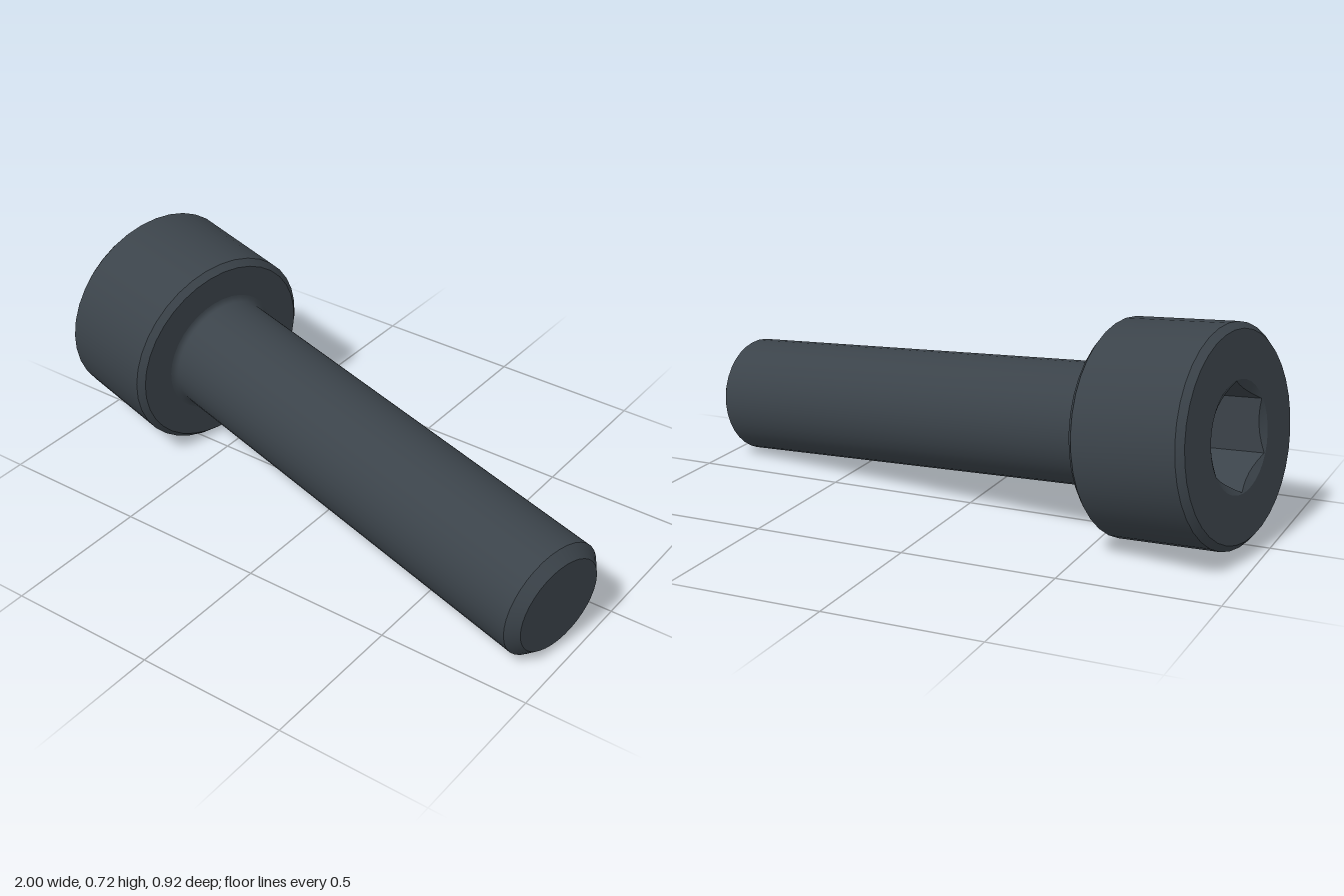
import * as THREE from 'three';
import { toCreasedNormals } from 'three/addons/utils/BufferGeometryUtils.js';

const SEGMENTS = 36;
const LENGTH = 1.944, HEAD_HEIGHT = 0.389, HEAD_R = 0.34, SHANK_R = 0.194;
const SOCKET_R = 0.172, SOCKET_DEPTH = 0.2, HEX_APOTHEM = 0.146;

const lathe = (points) =>
  new THREE.LatheGeometry(points.map(([r, y]) => new THREE.Vector2(r, y)), SEGMENTS);

// Distance from the axis to a hexagon's edge, with a corner at angle 0
function hexRadius(angle) {
  const sector = Math.PI / 3;
  const a = ((angle % sector) + sector) % sector;
  return HEX_APOTHEM / Math.cos(a - sector / 2);
}

// Hexagonal recess: a lathe whose wall rows are pushed onto a hexagon,
// meeting the round countersunk mouth
function socketGeometry() {
  const geometry = lathe([[0, SOCKET_DEPTH], [1, SOCKET_DEPTH], [1, 0.01], [SOCKET_R, 0]]);
  const pos = geometry.attributes.position;
  for (let i = 0; i < pos.count; i++) {
    const row = i % 4;
    if (row !== 1 && row !== 2) continue;
    const angle = Math.atan2(pos.getZ(i), pos.getX(i));
    const r = hexRadius(angle);
    const y = row === 1 ? SOCKET_DEPTH : (SOCKET_R - r) * 0.58;
    pos.setXYZ(i, r * Math.cos(angle), y, r * Math.sin(angle));
  }
  return geometry;
}

export function createModel() {
  const steel = new THREE.MeshStandardMaterial({ color: 0x3b434a });
  steel.name = 'darkSteel';

  const bolt = new THREE.Group();
  bolt.name = 'socketHeadBolt';
  const add = (name, geometry) => {
    const mesh = new THREE.Mesh(toCreasedNormals(geometry, 0.5), steel);
    mesh.name = name;
    bolt.add(mesh);
  };

  // Head with chamfered rims, open at the socket mouth
  const c = 0.02;
  add('head', lathe([
    [SOCKET_R, 0], [HEAD_R - c, 0], [HEAD_R, c],
    [HEAD_R, HEAD_HEIGHT - c], [HEAD_R - c, HEAD_HEIGHT], [SHANK_R + c, HEAD_HEIGHT],
  ]));

  add('hexSocket', socketGeometry());

  // Shank with a small fillet under the head and a chamfered tip
  const shank = [];
  for (let i = 0; i <= 4; i++) {
    const a = (i / 4) * Math.PI / 2;
    shank.push([SHANK_R + c * (1 - Math.sin(a)), HEAD_HEIGHT + c * (1 - Math.cos(a))]);
  }
  const tip = 0.034;
  shank.push([SHANK_R, LENGTH - tip], [SHANK_R - tip, LENGTH], [0, LENGTH]);
  add('shank', lathe(shank));

  // Lay the bolt down along its tilted axis
  const axis = new THREE.Vector3(1, -0.1, 0.214).normalize();
  const up = new THREE.Vector3(0, 1, 0).addScaledVector(axis, -axis.y).normalize();
  const side = new THREE.Vector3().crossVectors(up, axis);
  bolt.quaternion.setFromRotationMatrix(new THREE.Matrix4().makeBasis(up, axis, side));
  bolt.position.set(-0.928, 0.379, -0.13);

  const model = new THREE.Group();
  model.name = 'model';
  model.add(bolt);
  return model;
}
